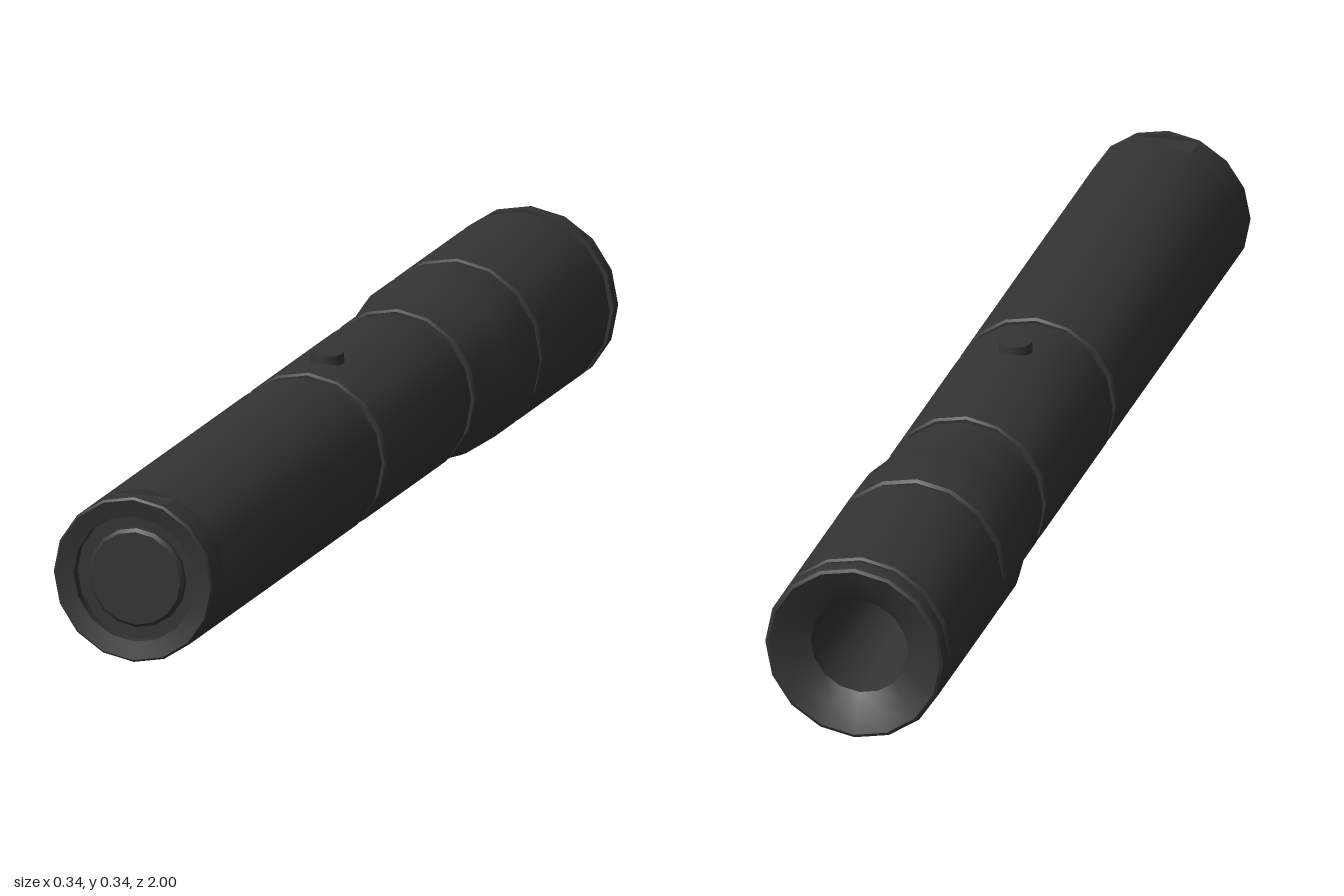
import * as THREE from 'three';
import { toCreasedNormals } from 'three/addons/utils/BufferGeometryUtils.js';

const SIDES = 16;
const AXIS_Y = 0.171; // height of the torch axis
const BODY_R = 0.155;
const HEAD_R = 0.17;

export function createModel() {
  const group = new THREE.Group();
  const black = new THREE.MeshStandardMaterial({ color: 0x343434 });
  black.name = 'matte black';

  const add = (name, geometry) => {
    const mesh = new THREE.Mesh(geometry, black);
    mesh.name = name;
    mesh.position.y = AXIS_Y;
    group.add(mesh);
    return mesh;
  };

  // Turned part along z; profile is [radius, z], running from back to front on the outside
  const turned = (name, profile, start = 0, length = Math.PI * 2, sides = SIDES) => {
    const points = profile.map(([r, z]) => new THREE.Vector2(r, z));
    const geometry = new THREE.LatheGeometry(points, sides, start, length);
    geometry.rotateX(Math.PI / 2);
    return add(name, toCreasedNormals(geometry, 0.6));
  };

  // Plain tube section with slightly eased edges
  const section = (z0, z1, r) => [
    [0.135, z0], [r - 0.004, z0], [r, z0 + 0.005], [r, z1 - 0.005], [r - 0.004, z1], [0.135, z1],
  ];

  // Inner core, seen only in the grooves between sections
  turned('core', [[0, -0.34], [0.145, -0.34], [0.145, 0.3], [0, 0.3]]);

  // Handle, with a notch two facets wide near the end
  const notchBack = 0.937, notchFront = 0.985;
  const facet = (Math.PI * 2) / SIDES;
  turned('handle', [
    [0.135, 0.153], [BODY_R - 0.004, 0.153], [BODY_R, 0.158], [BODY_R, notchBack], [0.135, notchBack],
  ]);
  turned('notchRing', [[BODY_R, notchBack], [BODY_R, notchFront]],
    Math.PI + facet, Math.PI * 2 - 2 * facet, SIDES - 2);
  const floor = new THREE.PlaneGeometry(2 * BODY_R * Math.sin(facet), notchFront - notchBack);
  floor.rotateX(-Math.PI / 2);
  floor.translate(0, BODY_R * Math.cos(facet), (notchBack + notchFront) / 2);
  add('notchFloor', floor);

  // Handle end with a recessed cap and raised disc
  turned('endRim', [
    [0.135, notchFront], [BODY_R, notchFront], [BODY_R, 0.996], [0.151, 1],
    [0.118, 0.992], [0.118, 0.972], [0, 0.972],
  ]);
  turned('endDisc', [[0.093, 0.97], [0.093, 0.982], [0.087, 0.988], [0, 0.988]]);

  // Middle grip and its push button
  turned('grip', section(-0.29, 0.127, BODY_R));
  const button = add('button', toCreasedNormals(new THREE.CylinderGeometry(0.03, 0.032, 0.04, 16), 0.6));
  button.position.set(0, 0.319, 0.026);

  // Flared neck
  turned('neck', [
    [0.135, -0.606], [0.165, -0.606], [HEAD_R, -0.6], [HEAD_R, -0.5], [0.166, -0.47],
    [BODY_R, -0.405], [BODY_R, -0.325], [0.151, -0.32], [0.135, -0.32],
  ]);
  turned('neckGroove', [[0.163, -0.63], [0.163, -0.59]]);

  // Head, rear groove and dished rim around a deep opening
  turned('head', section(-0.955, -0.618, HEAD_R));
  turned('headGroove', [[0.162, -0.975], [0.162, -0.945]]);
  turned('headRim', [
    [0, -0.66], [0.07, -0.66], [0.092, -0.965], [0.125, -0.985], [0.162, -1],
    [0.168, -0.997], [HEAD_R, -0.99], [HEAD_R, -0.968], [0.135, -0.968],
  ]);

  return group;
}
